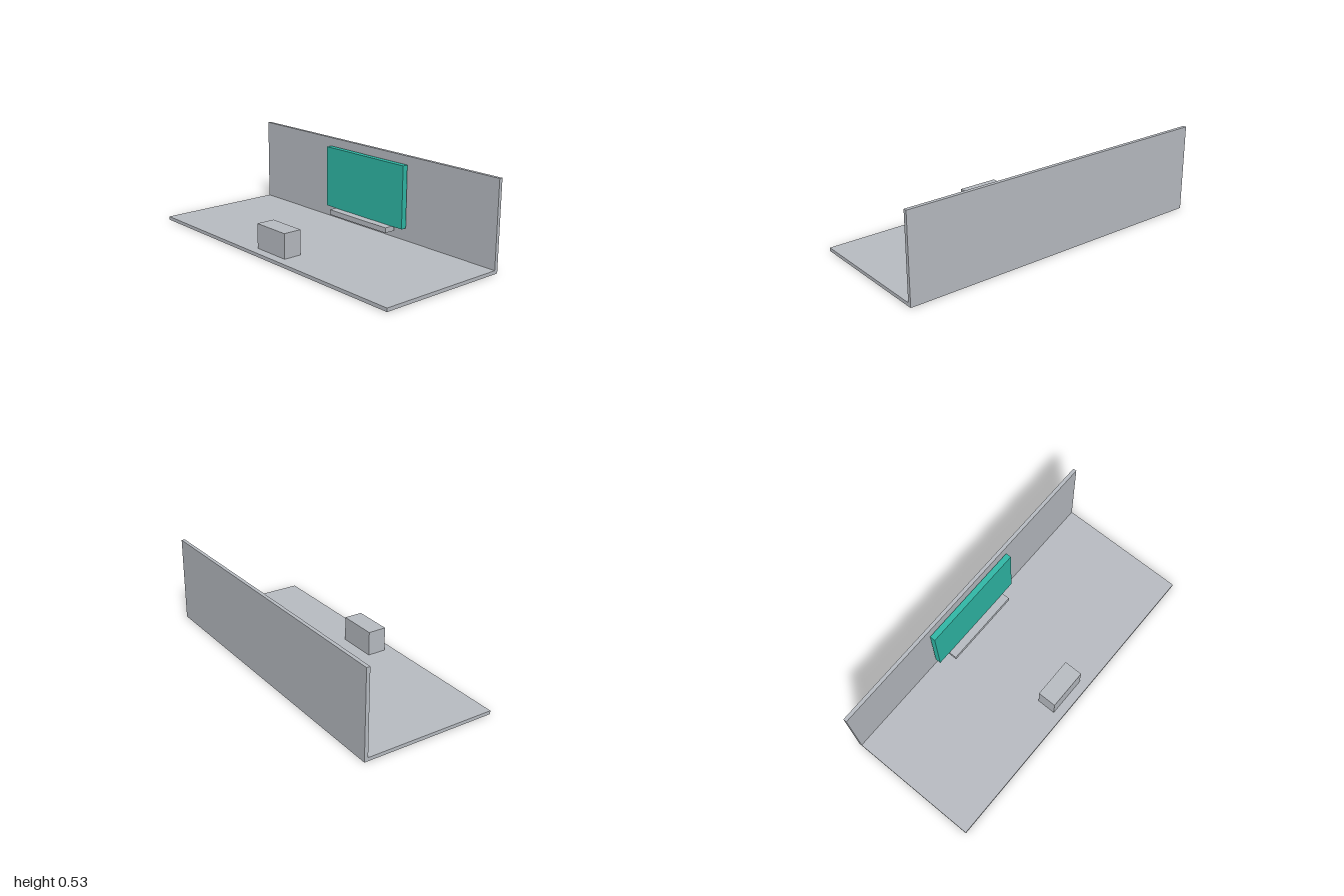
import * as THREE from 'three';

export function createModel() {
  const group = new THREE.Group();
  const grey = new THREE.MeshStandardMaterial({ color: 0xb8bcc2 });
  grey.name = 'light grey';
  const teal = new THREE.MeshStandardMaterial({ color: 0x2fb8a6 });
  teal.name = 'teal';

  // Box spanning the given ranges, symmetric about x = 0
  function slab(name, material, halfWidth, [y0, y1], [z0, z1]) {
    const mesh = new THREE.Mesh(
      new THREE.BoxGeometry(halfWidth * 2, y1 - y0, z1 - z0), material);
    mesh.position.set(0, (y0 + y1) / 2, (z0 + z1) / 2);
    mesh.name = name;
    group.add(mesh);
  }

  // Room shell
  slab('floor', grey, 1, [0, 0.021], [-0.415, 0.415]);
  slab('backWall', grey, 1, [0, 0.534], [-0.415, -0.393]);

  // Board with its thin rear plate and the ledge below
  slab('board', teal, 0.335, [0.101, 0.484], [-0.384, -0.349]);
  slab('boardBackPlate', grey, 0.273, [0.19, 0.428], [-0.387, -0.384]);
  slab('ledge', grey, 0.25, [0.068, 0.1], [-0.373, -0.3]);

  // Desk block facing the board
  slab('desk', grey, 0.125, [0.021, 0.171], [0.242, 0.358]);

  return group;
}
